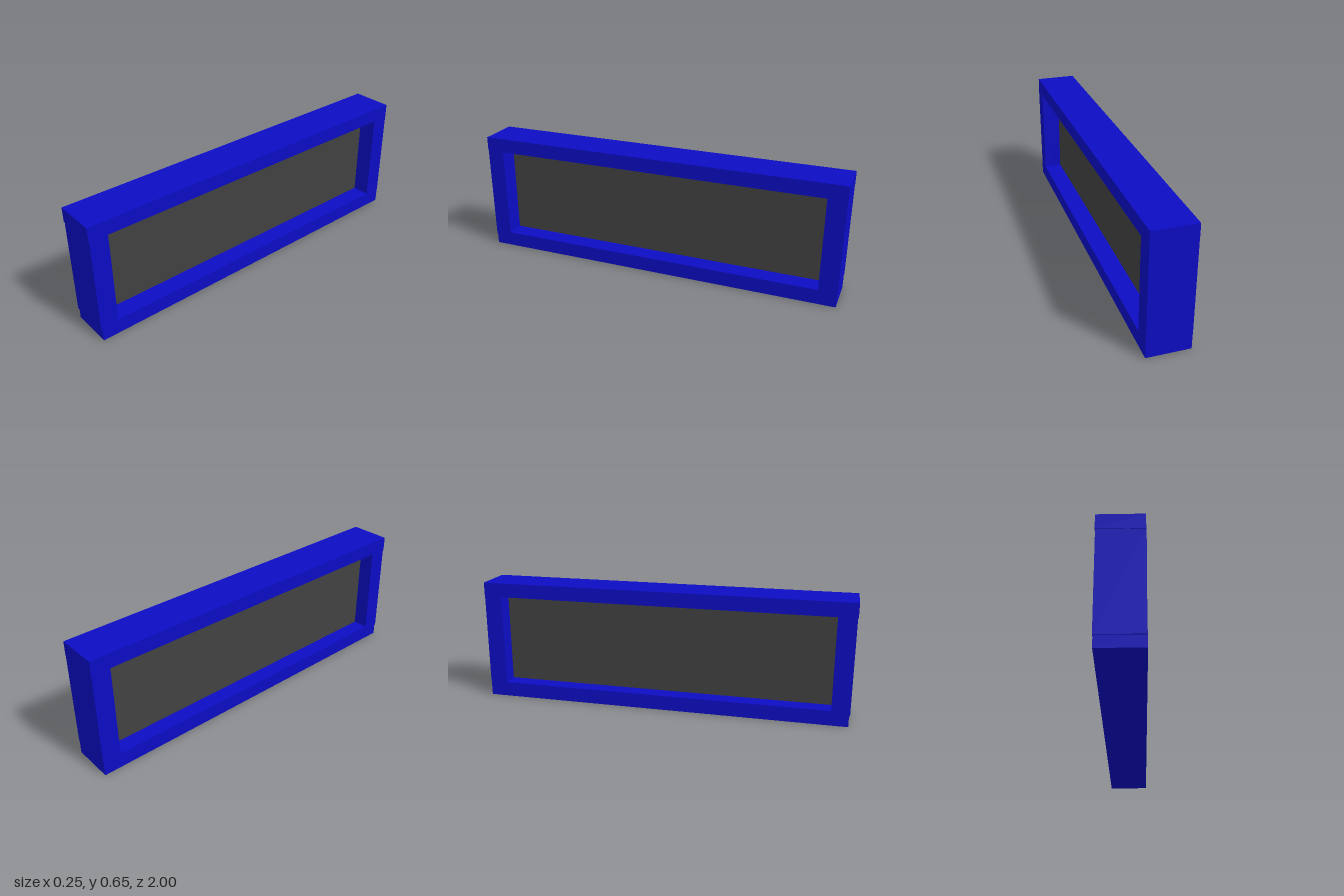
import * as THREE from 'three';

export function createModel() {
  const model = new THREE.Group();
  model.name = 'framedPanel';

  const blue = new THREE.MeshStandardMaterial({ color: 0x0c0cc4 });
  const dark = new THREE.MeshStandardMaterial({ color: 0x414141 });
  const depth = 0.223, height = 0.652, opening = { z: 0.9, bottom: 0.08, top: 0.575 };

  // Box given by its extents
  const addBox = (name, material, [x0, x1], [y0, y1], [z0, z1]) => {
    const mesh = new THREE.Mesh(new THREE.BoxGeometry(x1 - x0, y1 - y0, z1 - z0), material);
    mesh.position.set((x0 + x1) / 2, (y0 + y1) / 2, (z0 + z1) / 2);
    mesh.name = name;
    model.add(mesh);
    return mesh;
  };

  const across = [-depth / 2, depth / 2];

  // Rails along the length
  addBox('topRail', blue, across, [opening.top, height], [-0.998, 0.998]);
  addBox('bottomRail', blue, across, [0, opening.bottom], [-0.995, 0.99]);

  // End posts between the rails; the front one leans very slightly
  const frontPost = addBox('frontPost', blue, across, [opening.bottom - 0.02, opening.top + 0.01], [opening.z, 0.995]);
  frontPost.rotation.z = -0.006;
  addBox('backPost', blue, across, [opening.bottom, opening.top], [-0.997, -opening.z]);

  // Thin recessed panel, set back from both faces
  addBox('panel', dark, [-0.025, 0.011], [opening.bottom - 0.01, opening.top + 0.01], [-opening.z - 0.01, opening.z + 0.01]);

  // The whole frame stands turned by a fraction of a degree
  model.rotation.y = -0.0125;
  return model;
}
